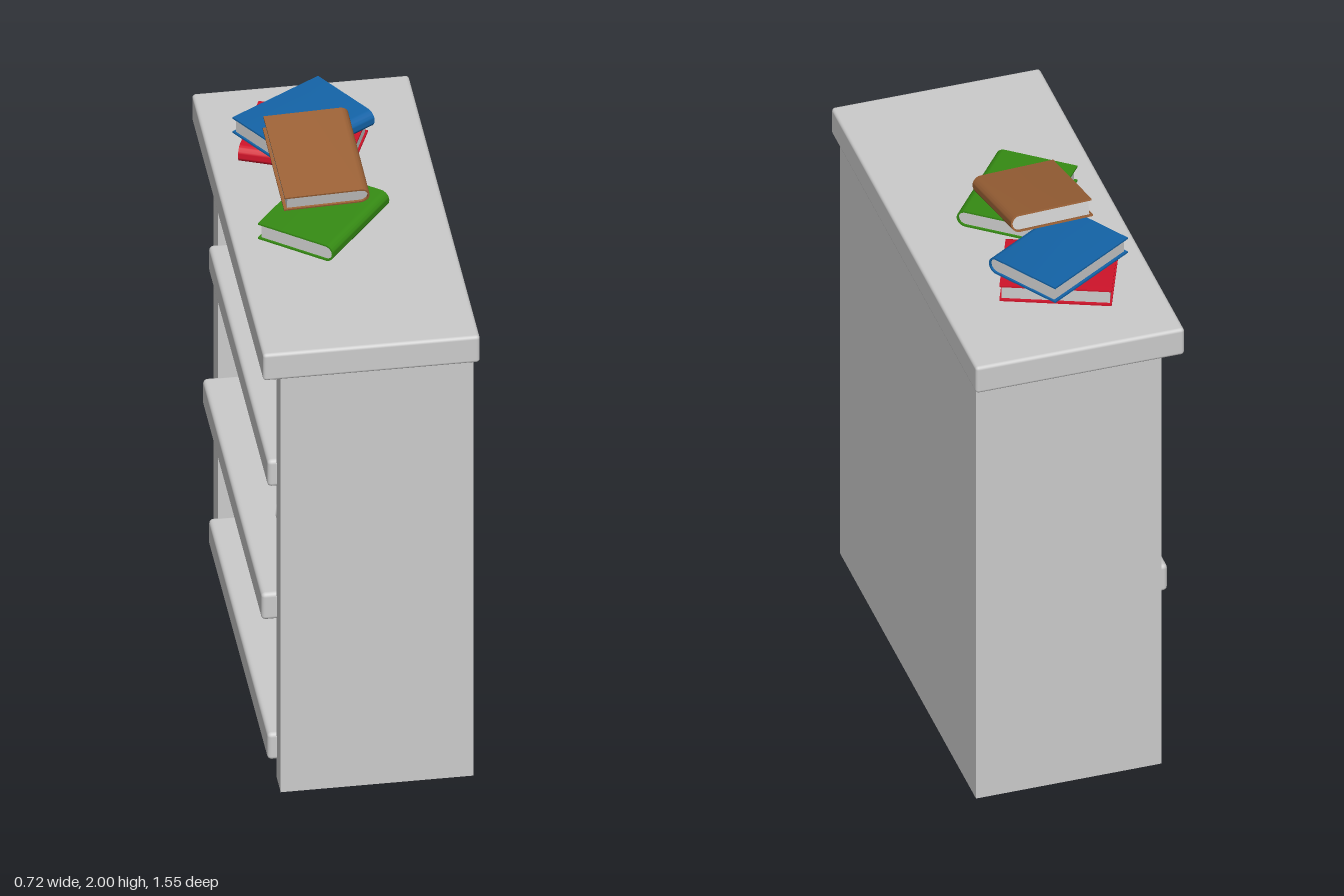
import * as THREE from 'three';
import { toCreasedNormals } from 'three/addons/utils/BufferGeometryUtils.js';
import { RoundedBoxGeometry } from 'three/addons/geometries/RoundedBoxGeometry.js';

const grey = new THREE.MeshStandardMaterial({ color: 0xcccccc });
const greyThin = new THREE.MeshStandardMaterial({ color: 0xcccccc, side: THREE.DoubleSide });

function add(parent, name, geometry, material, x = 0, y = 0, z = 0) {
  const mesh = new THREE.Mesh(geometry, material);
  mesh.name = name;
  mesh.position.set(x, y, z);
  parent.add(mesh);
  return mesh;
}

// Box given by its limits on each axis, with optional rounded edges
function box(parent, name, [x0, x1], [y0, y1], [z0, z1], r = 0) {
  const size = [x1 - x0, y1 - y0, z1 - z0];
  const geo = r ? new RoundedBoxGeometry(...size, 3, r) : new THREE.BoxGeometry(...size);
  return add(parent, name, geo, grey, (x0 + x1) / 2, (y0 + y1) / 2, (z0 + z1) / 2);
}

// Extrude a shape along z, centred
function extrude(shape, depth, curveSegments = 12) {
  const geo = new THREE.ExtrudeGeometry(shape, { depth, bevelEnabled: false, curveSegments });
  geo.translate(0, 0, -depth / 2);
  return toCreasedNormals(geo, 0.6);
}

// Book lying flat: rounded spine towards local +x, length along z
function book(parent, name, color, [x, y, z], [spineX, spineZ], tilt = 0) {
  const w = 0.285, t = 0.062, len = 0.37, c = 0.006;
  const r = t / 2, ri = r - c, xc = w / 2 - r;
  const cover = new THREE.Shape();
  cover.moveTo(-w / 2, -r);
  cover.lineTo(xc, -r);
  cover.absarc(xc, 0, r, -Math.PI / 2, Math.PI / 2, false);
  cover.lineTo(-w / 2, r);
  cover.lineTo(-w / 2, ri);
  cover.lineTo(xc, ri);
  cover.absarc(xc, 0, ri, Math.PI / 2, -Math.PI / 2, true);
  cover.lineTo(-w / 2, -ri);
  const pages = new THREE.Shape();
  pages.moveTo(-w / 2 + 0.01, -ri);
  pages.lineTo(xc, -ri);
  pages.absarc(xc, 0, ri, -Math.PI / 2, Math.PI / 2, false);
  pages.lineTo(-w / 2 + 0.01, ri);

  const group = new THREE.Group();
  group.name = name;
  add(group, 'cover', extrude(cover, len), new THREE.MeshStandardMaterial({ color }));
  add(group, 'pages', extrude(pages, len - 0.014), grey);
  group.position.set(x, y, z);
  group.rotation.set(tilt, Math.atan2(-spineZ, spineX), 0, 'YXZ');
  parent.add(group);
}

// Rolled sheet: a spiral strip extruded between two points
function scroll(parent, from, to, radius) {
  const a = new THREE.Vector3(...from), b = new THREE.Vector3(...to);
  const turns = 2.2, steps = 44, thick = radius * 0.12;
  const point = (i, off) => {
    const angle = (i / steps) * turns * Math.PI * 2;
    const r = radius * (0.3 + 0.7 * i / steps) - off;
    return new THREE.Vector2(Math.cos(angle) * r, Math.sin(angle) * r);
  };
  const points = [];
  for (let i = 0; i <= steps; i++) points.push(point(i, 0));
  for (let i = steps; i >= 0; i--) points.push(point(i, thick));
  const mesh = add(parent, 'scroll', extrude(new THREE.Shape(points), a.distanceTo(b)), greyThin);
  mesh.position.copy(a).lerp(b, 0.5);
  mesh.lookAt(b);
}

// Conical flask with a narrow neck and a small lip
function flask(parent, x, y, z) {
  const profile = [[0, 0], [0.06, 0], [0.066, 0.012], [0.026, 0.13], [0.024, 0.2],
    [0.033, 0.21], [0.033, 0.22], [0.02, 0.22], [0.018, 0.13], [0, 0.12]];
  const geo = new THREE.LatheGeometry(profile.map(p => new THREE.Vector2(...p)), 24);
  add(parent, 'flask', toCreasedNormals(geo, 0.6), greyThin, x, y, z);
}

export function createModel() {
  const model = new THREE.Group();
  model.name = 'bookcase';

  // Cabinet, open towards -x
  box(model, 'topSlab', [-0.36, 0.36], [1.67, 1.775], [-0.773, 0.773], 0.012);
  box(model, 'backPanel', [0.305, 0.345], [0, 1.67], [-0.725, 0.725]);
  for (const s of [-1, 1]) {
    const limits = [s * 0.63, s * 0.725].sort((p, q) => p - q);
    box(model, 'sidePanel', [-0.295, 0.305], [0, 1.67], limits);
  }
  for (const [y, front] of [[0.07, -0.325], [0.628, -0.345], [1.155, -0.325]]) {
    box(model, 'shelf', [front, 0.32], [y, y + 0.105], [-0.64, 0.64], 0.015);
  }

  // Books on top
  const books = new THREE.Group();
  books.name = 'books';
  model.add(books);
  book(books, 'greenBook', 0x368c14, [-0.05, 1.816, 0.058], [0.78, 0.62]);
  book(books, 'redBook', 0xd0142a, [-0.05, 1.816, -0.388], [-0.38, 0.92]);
  book(books, 'blueBook', 0x1464a8, [-0.048, 1.884, -0.388], [0.53, 0.85]);
  book(books, 'brownBook', 0x9b6136, [-0.048, 1.927, -0.112], [1, -0.045], 0.23);

  // Upper shelf: stacked scrolls and flasks
  const upper = new THREE.Group();
  upper.name = 'upperShelfItems';
  model.add(upper);
  for (let row = 0; row < 2; row++) {
    for (let i = 0; i < 4 - row; i++) {
      const z = -0.21 - 0.063 * row - 0.125 * i, y = 1.32 + 0.107 * row;
      scroll(upper, [0.2, y, z], [-0.22, y, z], 0.06);
    }
  }
  flask(upper, 0.0, 1.26, 0.175);
  flask(upper, 0.08, 1.26, 0.0);

  // Middle shelf: orb resting in a bowl, and two loose scrolls
  const middle = new THREE.Group();
  middle.name = 'middleShelfItems';
  model.add(middle);
  add(middle, 'orb', new THREE.SphereGeometry(0.158, 32, 20), grey, -0.085, 0.895, -0.1);
  add(middle, 'bowl', new THREE.SphereGeometry(0.165, 32, 10, 0, Math.PI * 2, Math.PI / 2, Math.PI / 2),
    greyThin, -0.085, 0.895, -0.1);
  scroll(middle, [0.22, 0.78, 0.48], [-0.227, 0.78, 0.58], 0.046);
  scroll(middle, [0.16, 0.78, 0.42], [-0.218, 0.78, 0.207], 0.046);

  // Lower shelf: one scroll and two flasks
  const lower = new THREE.Group();
  lower.name = 'lowerShelfItems';
  model.add(lower);
  scroll(lower, [0.14, 0.225, -0.48], [-0.18, 0.225, -0.25], 0.05);
  flask(lower, 0.147, 0.175, 0.38);
  flask(lower, 0.18, 0.175, 0.53);

  return model;
}
